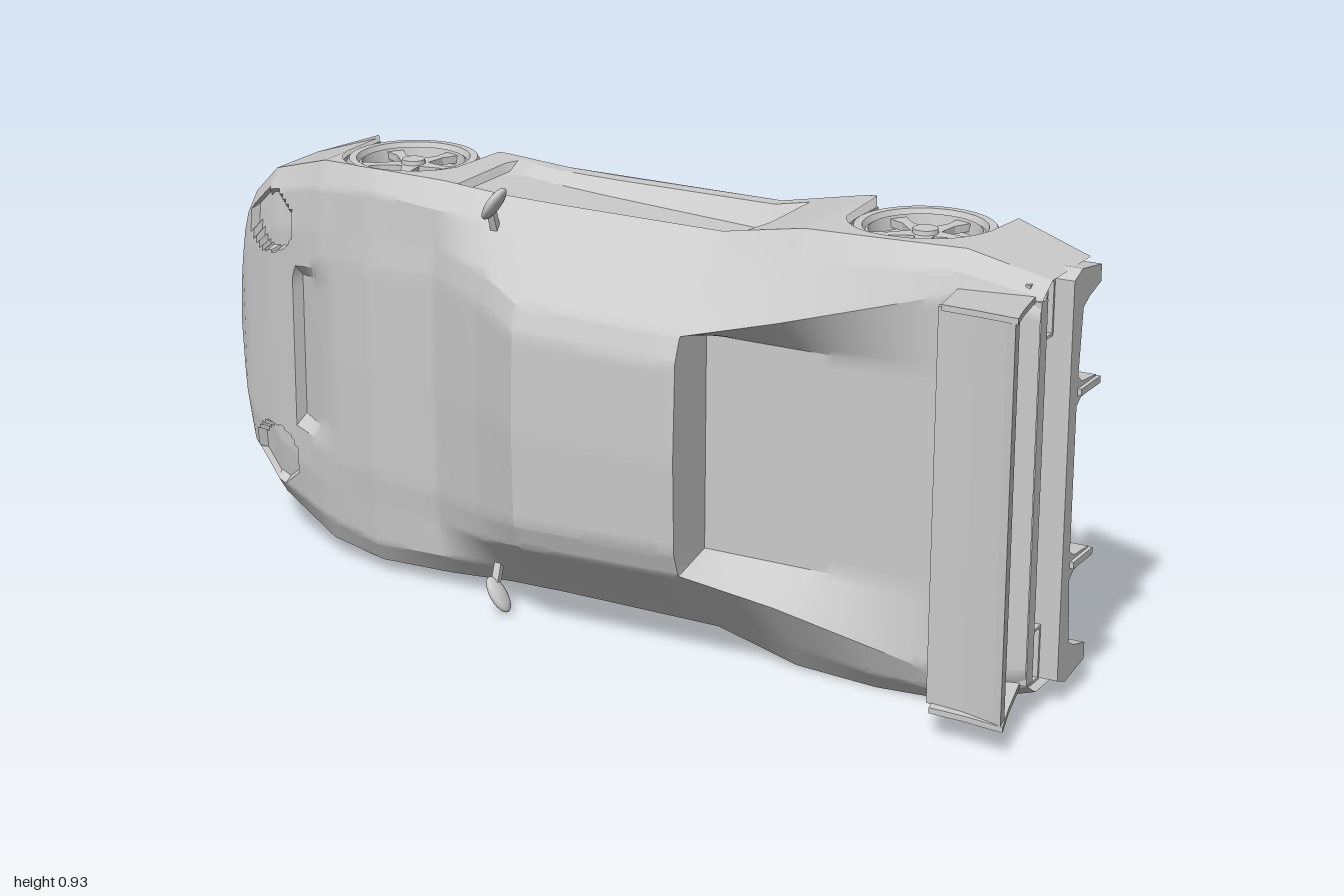
import * as THREE from 'three';
import { toCreasedNormals } from 'three/addons/utils/BufferGeometryUtils.js';

const mat = new THREE.MeshStandardMaterial({ color: 0xcccccc, side: THREE.DoubleSide });
const FLOOR = -0.215, CABIN_END = 0.27, DECK = 0.105;
// The car lies on its side: x runs nose to tail, y across the car, z up through the roof.
const wheels = [
  { name: 'front', x: -0.555, z: -0.117, r: 0.143, outer: 0.425, width: 0.14 },
  { name: 'rear', x: 0.638, z: -0.11, r: 0.148, outer: 0.447, width: 0.16 },
];
// Half sections: x, half width, side top, then (across, up) for the belt and the roof edge
const stations = [
  [-1.0, 0, -0.12, 0, -0.1, 0, -0.095],
  [-0.99, 0.17, -0.12, 0.14, -0.095, 0.1, -0.088],
  [-0.975, 0.25, -0.115, 0.21, -0.085, 0.15, -0.073],
  [-0.95, 0.3, -0.1, 0.26, -0.065, 0.18, -0.058],
  [-0.87, 0.37, -0.065, 0.33, -0.035, 0.24, -0.022],
  [-0.7, 0.425, 0, 0.37, 0.025, 0.28, 0.033],
  [-0.55, 0.435, 0.036, 0.39, 0.06, 0.29, 0.068],
  [-0.38, 0.432, 0.035, 0.38, 0.075, 0.3, 0.08],
  [-0.23, 0.422, 0.035, 0.375, 0.08, 0.29, 0.145],
  [-0.1, 0.42, 0.035, 0.375, 0.08, 0.258, 0.215],
  [CABIN_END, 0.42, 0.04, 0.375, 0.085, 0.25, 0.213],
  [0.46, 0.458, 0.06, 0.4, 0.1, 0.295, 0.17],
  [0.64, 0.465, 0.066, 0.42, 0.103, 0.345, 0.138],
  [0.8, 0.465, 0.05, 0.43, 0.092, 0.39, 0.107],
  [0.965, 0.42, 0.025, 0.395, 0.065, 0.37, 0.078],
];

function add(parent, name, geometry, x = 0, y = 0, z = 0) {
  const m = new THREE.Mesh(geometry, mat);
  m.name = name;
  m.position.set(x, y, z);
  parent.add(m);
  return m;
}
const box = (parent, name, dx, dy, dz, x, y, z) => add(parent, name, new THREE.BoxGeometry(dx, dy, dz), x, y, z);
const shape = pts => new THREE.Shape(pts.map(p => new THREE.Vector2(...p)));
const extrude = (pts, depth) => new THREE.ExtrudeGeometry(shape(pts), { depth, bevelEnabled: false });
const mirrored = pts => [...pts, ...pts.slice().reverse().map(([x, y]) => [-x, y])];

// Lower edge of the side: follows the wheel arches and lifts at the tail
function sideBottom(x) {
  let h = x > 0.79 ? -0.19 + (x - 0.79) * 0.18 : FLOOR;
  for (const w of wheels) {
    const r = w.r + 0.006, d = Math.abs(x - w.x);
    if (d < r) h = Math.max(h, w.z + Math.sqrt(r * r - d * d));
  }
  return h;
}

// Corner points of the half section at x: crowned up to the cabin end, then buttress and sunken deck
function section(x) {
  const i = Math.max(1, stations.findIndex(s => s[0] >= x - 1e-9));
  const a = stations[i - 1], b = stations[i], t = (x - a[0]) / (b[0] - a[0]);
  const [, w, top, w1, h1, w2, h2] = a.map((v, k) => v + (b[k] - v) * t);
  const rise = Math.max(0, h2), deck = Math.min(DECK, h2);
  const inner = x > CABIN_END ? [[0.226, deck], [0, deck]] : [[w2 * 0.8, h2 + rise * 0.09], [0, h2 + rise * 0.12]];
  return [[w, sideBottom(x)], [w, top], [w1, h1], [w2, h2], ...inner];
}

// Pressed-in details: mouth, hood vent, headlights and door scoops
function press([x, w, h], seg) {
  if (seg === 0 && x < -0.9 && h > -0.195 && h < -0.135) x += 0.04;
  if (seg > 1) {
    if (x > -0.79 && x < -0.66 && w < 0.17) h -= 0.03 * (-0.66 - x) / 0.13;
    if (((x + 0.865) / 0.07) ** 2 + ((w - 0.265) / 0.065) ** 2 < 1) h -= 0.022;
  }
  if (seg === 0 && Math.abs(x) < 0.34 && h > -0.18 && h < 0.03 - 0.05 * Math.max(0, x))
    w -= 0.015 + 0.035 * (x + 0.34) / 0.68;
  return [x, w, h];
}

function bodyGeometry() {
  const SUB = 8, xs = [-1];
  for (let i = 1; i < stations.length; i++) {
    const a = stations[i - 1][0], b = stations[i][0], n = Math.max(1, Math.round((b - a) / 0.011));
    for (let k = 1; k <= n; k++) xs.push(a + (b - a) * k / n);
    if (b === CABIN_END) xs.push(b + 0.001);
  }
  const pos = [], idx = [], cols = 10 * SUB + 1;
  for (const x of xs) {
    const key = section(x), half = [];
    for (let g = 0; g < 5; g++) for (let k = 0; k < SUB; k++) {
      const [w, h] = key[g].map((v, c) => v + (key[g + 1][c] - v) * k / SUB);
      half.push(press([x, w, h], g));
    }
    const ring = [...half, press([x, ...key[5]], 4), ...half.slice().reverse().map(([px, w, h]) => [px, -w, h])];
    ring.forEach(p => pos.push(...p));
  }
  for (let i = 0; i < xs.length - 1; i++) for (let j = 0; j < cols - 1; j++) {
    const a = i * cols + j, b = a + cols;
    idx.push(a, a + 1, b, b, a + 1, b + 1);
  }
  const g = new THREE.BufferGeometry();
  g.setAttribute('position', new THREE.Float32BufferAttribute(pos, 3));
  g.setIndex(idx);
  return toCreasedNormals(g, 0.5);
}

// Flat floor, notched for the four wheel wells
function floorGeometry() {
  const edge = stations.slice(1, 5).map(s => [s[0], s[1]]);
  for (const w of wheels) {
    const r = w.r + 0.008, [out] = section(w.x)[0];
    edge.push([w.x - r, out - 0.005], [w.x - r, 0.27], [w.x + r, 0.27], [w.x + r, out - 0.005]);
    if (w.name === 'front') edge.push([-0.23, 0.422], [CABIN_END, 0.42], [0.46, 0.458]);
  }
  return new THREE.ShapeGeometry(shape([...edge, ...edge.slice().reverse().map(([x, y]) => [x, -y])]));
}

// Wheel with its outer face towards +y
function makeWheel(w) {
  const g = new THREE.Group(), r = w.r, h = w.width;
  g.name = w.name + 'Wheel';
  const profile = [[0, -h], [r * 0.93, -h], [r, -h + 0.01], [r, -0.012], [r * 0.95, 0], [r * 0.84, 0],
    [r * 0.8, -0.012], [r * 0.76, -0.008], [r * 0.72, -0.035], [0, -0.035]];
  add(g, 'tyreAndRim', toCreasedNormals(new THREE.LatheGeometry(profile.map(p => new THREE.Vector2(...p)), 40), 0.5));
  add(g, 'hub', new THREE.CylinderGeometry(r * 0.17, r * 0.2, 0.03, 20), 0, -0.02, 0);
  const outline = [[0, -0.16], [0.5, -0.07], [0.76, -0.13], [0.76, 0.13], [0.5, 0.07], [0, 0.16]].map(p => p.map(v => v * r));
  for (let i = 0; i < 5; i++)
    add(g, 'spoke', extrude(outline, 0.016).rotateX(-Math.PI / 2).rotateY(i * Math.PI * 2 / 5), 0, -0.03, 0);
  return g;
}

export function createModel() {
  const model = new THREE.Group();
  model.name = 'sportsCar';
  const car = new THREE.Group();
  car.name = 'car';
  car.position.y = 0.465;
  model.add(car);

  add(car, 'bodyShell', bodyGeometry());
  // Turned over so that it faces down
  add(car, 'floor', floorGeometry().rotateX(Math.PI), 0, 0, FLOOR);

  for (const side of [1, -1]) {
    // Wheels and their wells
    for (const w of wheels) {
      const wheel = makeWheel(w);
      wheel.position.set(w.x, side * w.outer, w.z);
      if (side < 0) wheel.rotation.x = Math.PI;
      car.add(wheel);
      const r = w.r + 0.006, depth = w.outer - 0.28, top = w.z + r * 0.9;
      add(car, w.name + 'WellLiner', new THREE.CylinderGeometry(r, r, depth, 28, 1, true, -Math.PI / 2, Math.PI),
        w.x, side * (0.27 + depth / 2), w.z);
      box(car, w.name + 'WellWall', 2 * r, 0.004, top - FLOOR, w.x, side * 0.27, (top + FLOOR) / 2);
      for (const e of [-1, 1])
        box(car, w.name + 'WellEnd', 0.004, depth, w.z - FLOOR, w.x + e * r, side * (0.27 + depth / 2), (w.z + FLOOR) / 2);
    }
    // Mirror on a short stalk
    const mirror = add(car, 'mirror', new THREE.SphereGeometry(1, 18, 12), -0.216, side * 0.424, 0.108);
    mirror.scale.set(0.013, 0.042, 0.025);
    mirror.rotation.z = side * -0.6;
    const stalk = box(car, 'mirrorStalk', 0.016, 0.06, 0.014, -0.228, side * 0.385, 0.092);
    stalk.rotation.x = side * 0.35;
    // Wing end plate, leaning slightly outwards
    const plate = [[0.8, 0.08], [0.95, 0.07], [0.975, 0.18], [0.995, 0.252], [0.91, 0.243], [0.835, 0.24]];
    add(car, 'wingEndPlate', extrude(plate, 0.012).applyMatrix4(new THREE.Matrix4().set(
      1, 0, 0, 0,
      0, side * 0.08, -1, side * 0.386 + 0.006,
      0, 1, 0, 0,
      0, 0, 0, 1)));
    // Tail light frame
    for (const z of [-0.018, 0.014, 0.04]) box(car, 'tailLightBar', 0.012, 0.115, 0.006, 0.945, side * 0.355, z);
    for (const y of [0.3, 0.41]) box(car, 'tailLightPost', 0.012, 0.006, 0.064, 0.945, side * y, 0.011);
    // Ribs in the front opening, and diffuser fins
    for (const [x, y] of [[-0.97, 0.1], [-0.935, 0.255]]) box(car, 'mouthRib', 0.04, 0.014, 0.075, x, side * y, -0.165);
    box(car, 'diffuserFin', 0.2, 0.014, 0.095, 0.898, side * 0.178, -0.107);
  }

  // Wing blade with a raised rear edge
  const blade = [[0.815, 0.205], [0.9, 0.208], [0.985, 0.222], [0.99, 0.252], [0.97, 0.245], [0.9, 0.228], [0.82, 0.22]];
  add(car, 'wingBlade', extrude(blade, 0.8).rotateX(Math.PI / 2), 0, 0.4, 0);

  // Tail: recessed light panel, lip and scalloped bumper
  box(car, 'lightPanel', 0.01, 0.83, 0.1, 0.93, 0, 0.01);
  box(car, 'tailLip', 0.045, 0.78, 0.03, 0.943, 0, 0.06);
  const scallops = [[0.41, -0.022], [0.425, -0.06], [0.41, -0.155], [0.375, -0.155], [0.36, -0.1], [0.345, -0.072],
    [0.21, -0.06], [0.195, -0.08], [0.188, -0.15], [0.168, -0.15], [0.163, -0.08], [0.15, -0.058]];
  const alongX = new THREE.Matrix4().makeBasis(
    new THREE.Vector3(0, 1, 0), new THREE.Vector3(0, 0, 1), new THREE.Vector3(1, 0, 0));
  add(car, 'rearBumper', extrude(mirrored(scallops), 0.075).applyMatrix4(alongX), 0.915, 0, 0);
  box(car, 'diffuserRoof', 0.13, 0.84, 0.008, 0.855, 0, -0.062);
  box(car, 'floorEndWall', 0.008, 0.88, 0.155, 0.796, 0, -0.137);
  return model;
}
